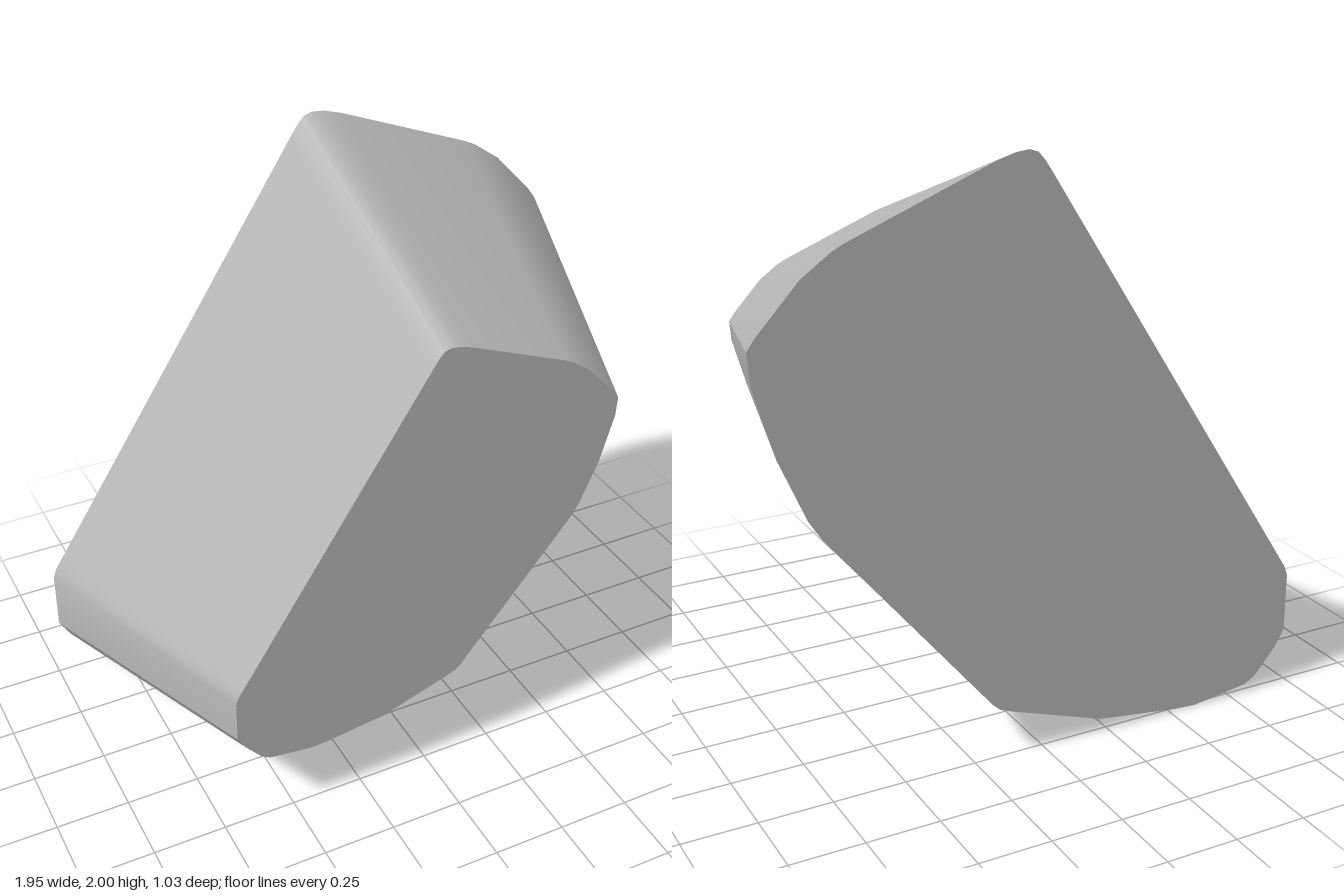
import * as THREE from 'three';
import { toCreasedNormals } from 'three/addons/utils/BufferGeometryUtils.js';

// Rounded outline of the large back face, counter-clockwise seen from the front
const OUTLINE = [
  [0.08, 2], [0.05, 1.99], [0.025, 1.962], [0, 1.925],
  [-0.937, 0.49], [-0.96, 0.455], [-0.973, 0.42],
  [-0.975, 0.21], [-0.937, 0.145], [-0.86, 0.055], [-0.817, 0.03],
  [-0.605, 0.002], [-0.52, 0.008], [-0.22, 0.048],
  [0.125, 0.167], [0.165, 0.183], [0.193, 0.208],
  [0.763, 0.902], [0.807, 0.97], [0.897, 1.178],
  [0.965, 1.415], [0.972, 1.51], [0.945, 1.547], [0.807, 1.696],
  [0.71, 1.765], [0.67, 1.785], [0.188, 1.976], [0.125, 1.995],
];
const HALF_DEPTH = 0.515;
const TAPER = 0.7;

const backRing = OUTLINE.map(([x, y]) => new THREE.Vector3(x, y, -HALF_DEPTH));
const frontRing = OUTLINE.map(([x, y]) =>
  new THREE.Vector3(x * TAPER - 0.0125, y * TAPER + 0.24, HALF_DEPTH));

function fromTriangles(points) {
  return new THREE.BufferGeometry().setFromPoints(points);
}

// Tapering wall between the two outlines
function wallGeometry() {
  const points = [];
  const n = OUTLINE.length;
  for (let i = 0; i < n; i++) {
    const j = (i + 1) % n;
    const a = frontRing[i], b = frontRing[j], c = backRing[j], d = backRing[i];
    points.push(a, d, c, a, c, b);
  }
  return toCreasedNormals(fromTriangles(points), THREE.MathUtils.degToRad(29));
}

// Flat cap as a fan around its middle
function capGeometry(ring, facesFront) {
  const middle = new THREE.Vector3();
  ring.forEach((p) => middle.add(p));
  middle.divideScalar(ring.length);
  const points = [];
  ring.forEach((p, i) => {
    const q = ring[(i + 1) % ring.length];
    points.push(middle, ...(facesFront ? [p, q] : [q, p]));
  });
  const geometry = fromTriangles(points);
  geometry.computeVertexNormals();
  return geometry;
}

export function createModel() {
  const group = new THREE.Group();
  group.name = 'taperedBlock';
  const grey = new THREE.MeshStandardMaterial({ color: 0xb4b4b4 });
  grey.name = 'grey';

  const add = (name, geometry) => {
    const mesh = new THREE.Mesh(geometry, grey);
    mesh.name = name;
    group.add(mesh);
  };
  add('taperedWall', wallGeometry());
  add('frontFace', capGeometry(frontRing, true));
  add('backFace', capGeometry(backRing, false));
  return group;
}
